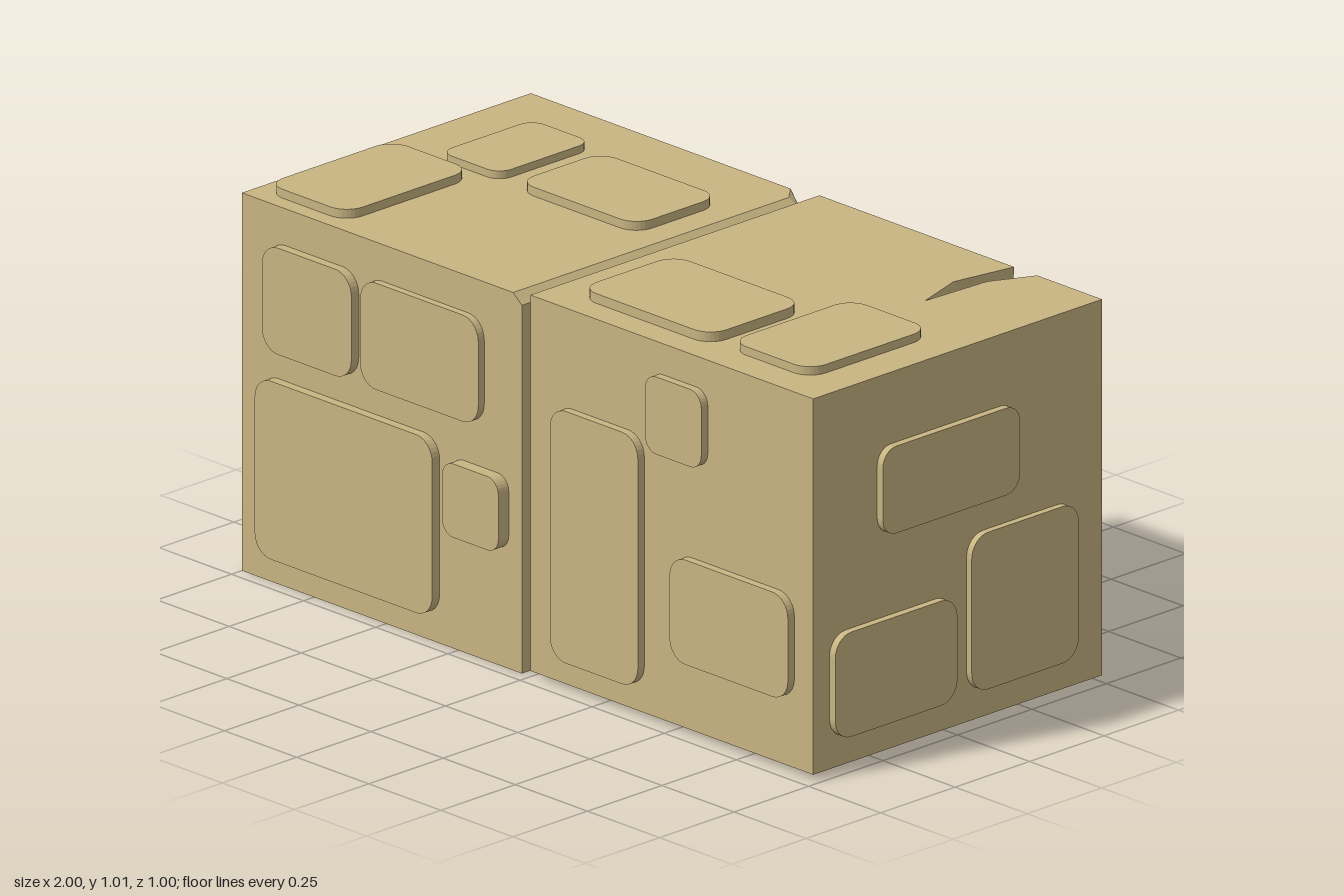
import * as THREE from 'three';

const stone = new THREE.MeshStandardMaterial({ color: 0xc9b583 });
stone.name = 'sandstone';

// Faceted solid from fans of corner points, each counter-clockwise from outside
function solid(name, fans) {
  const pos = [];
  for (const f of fans)
    for (let i = 1; i < f.length - 1; i++) pos.push(...f[0], ...f[i], ...f[i + 1]);
  const g = new THREE.BufferGeometry();
  g.setAttribute('position', new THREE.Float32BufferAttribute(pos, 3));
  g.computeVertexNormals();
  const m = new THREE.Mesh(g, stone);
  m.name = name;
  return m;
}

// Rounded slab spanning u0..u1, v0..v1, raised from a wall by height h
function slab(u0, u1, v0, v1, h) {
  const r = Math.min(0.055, (u1 - u0) * 0.2, (v1 - v0) * 0.2);
  const s = new THREE.Shape();
  s.moveTo(u0 + r, v0);
  s.lineTo(u1 - r, v0);
  s.absarc(u1 - r, v0 + r, r, -Math.PI / 2, 0);
  s.lineTo(u1, v1 - r);
  s.absarc(u1 - r, v1 - r, r, 0, Math.PI / 2);
  s.lineTo(u0 + r, v1);
  s.absarc(u0 + r, v1 - r, r, Math.PI / 2, Math.PI);
  s.lineTo(u0, v0 + r);
  s.absarc(u0 + r, v0 + r, r, Math.PI, Math.PI * 1.5);
  return new THREE.ExtrudeGeometry(s, { depth: h, bevelEnabled: false, curveSegments: 4 });
}

// Slabs on one wall: side is 'front', 'top' or 'side', at is the wall position
function slabs(name, side, at, list) {
  const group = new THREE.Group();
  group.name = name;
  for (const [a0, a1, b0, b1, h] of list) {
    let g;
    if (side === 'front') g = slab(a0, a1, b0, b1, h).translate(0, 0, at);
    if (side === 'top') g = slab(a0, a1, -b1, -b0, h).rotateX(-Math.PI / 2).translate(0, at, 0);
    if (side === 'side') g = slab(-a1, -a0, b0, b1, h).rotateY(Math.PI / 2).translate(at, 0, 0);
    const m = new THREE.Mesh(g, stone);
    m.name = 'raisedSlab';
    group.add(m);
  }
  return group;
}

// Block with a chipped top edge and a chipped rear corner
function chippedBlock() {
  const back = -0.505, front = 0.465;
  // height, inner wall x, chip start z, chip end x
  const rings = [
    [0, -0.03, -0.47, -0.12],
    [0.7, -0.03, -0.49, -0.05],
    [0.95, -0.03, -0.47, -0.08],
    [0.975, -0.06, -0.46, -0.1],
  ].map(([y, x, z, xc]) => [
    [-1, y, front], [x, y, front], [x, y, z], [xc, y, back], [-1, y, back],
  ]);
  const fans = [rings[3], [...rings[0]].reverse()];
  for (let k = 0; k < 3; k++)
    for (let i = 0; i < 5; i++) {
      const j = (i + 1) % 5;
      fans.push([rings[k][i], rings[k][j], rings[k + 1][j], rings[k + 1][i]]);
    }
  return solid('chippedBlock', fans);
}

// Block with a wedge crack running from the top into the back
function crackedBlock() {
  const lo = 0.015, hi = 0.985, back = -0.505, front = 0.465, w = 0.98;
  const corners = (y) => [[0, y, back], [0, y, front], [w, y, front], [w, y, back]];
  const [p0, p1, p2, p3] = corners(hi);
  const [q0, q1, q2, q3] = corners(lo);
  const a = [0.755, hi, back], b = [0.70, hi, -0.39], t = [0.69, hi, -0.19];
  const c = [0.645, hi, -0.33], d = [0.675, hi, back], k = [0.65, 0.575, back];
  return solid('crackedBlock', [
    [c, d, p0, p1, t], [t, p1, p2], [b, t, p2, p3, a], // top
    [k, a, p3, q3, q0, p0, d],                         // back
    [k, d, c, t, b, a],                                // crack walls
    [q1, q2, p2, p1], [q2, q3, p3, p2], [q0, q1, p1, p0], [q3, q2, q1, q0],
  ]);
}

export function createModel() {
  const model = new THREE.Group();
  model.name = 'stoneBlocks';

  const rightHalf = new THREE.Group();
  rightHalf.name = 'rightBlock';
  rightHalf.add(
    chippedBlock(),
    slabs('frontSlabs', 'front', 0.465, [
      [-0.905, -0.595, 0.605, 0.88, 0.025],
      [-0.57, -0.16, 0.605, 0.88, 0.02],
      [-0.93, -0.315, 0.07, 0.53, 0.025],
      [-0.27, -0.075, 0.305, 0.495, 0.035],
    ]),
    slabs('topSlabs', 'top', 0.975, [
      [-0.83, -0.625, -0.345, -0.035, 0.02],
      [-0.55, -0.14, -0.305, -0.025, 0.023],
      [-0.96, -0.685, 0, 0.42, 0.023],
    ]),
    slabs('innerSlabs', 'side', -0.03, [
      [-0.44, -0.03, 0.57, 0.86, 0.02],
      [0.07, 0.39, 0.21, 0.44, 0.02],
      [-0.36, -0.03, 0.05, 0.27, 0.02],
    ]),
  );

  const leftHalf = new THREE.Group();
  leftHalf.name = 'leftBlock';
  leftHalf.add(
    crackedBlock(),
    slabs('frontSlabs', 'front', 0.465, [
      [0.09, 0.395, 0.08, 0.73, 0.022],
      [0.42, 0.615, 0.705, 0.905, 0.022],
      [0.505, 0.915, 0.19, 0.46, 0.022],
    ]),
    slabs('topSlabs', 'top', 0.985, [
      [0.095, 0.545, 0.075, 0.39, 0.025],
      [0.6, 0.875, -0.03, 0.375, 0.022],
    ]),
    slabs('sideSlabs', 'side', 0.98, [
      [-0.21, 0.25, 0.575, 0.8, 0.02],
      [0, 0.41, 0.09, 0.36, 0.02],
      [-0.41, -0.05, 0.09, 0.495, 0.018],
    ]),
  );

  model.add(rightHalf, leftHalf);
  return model;
}
